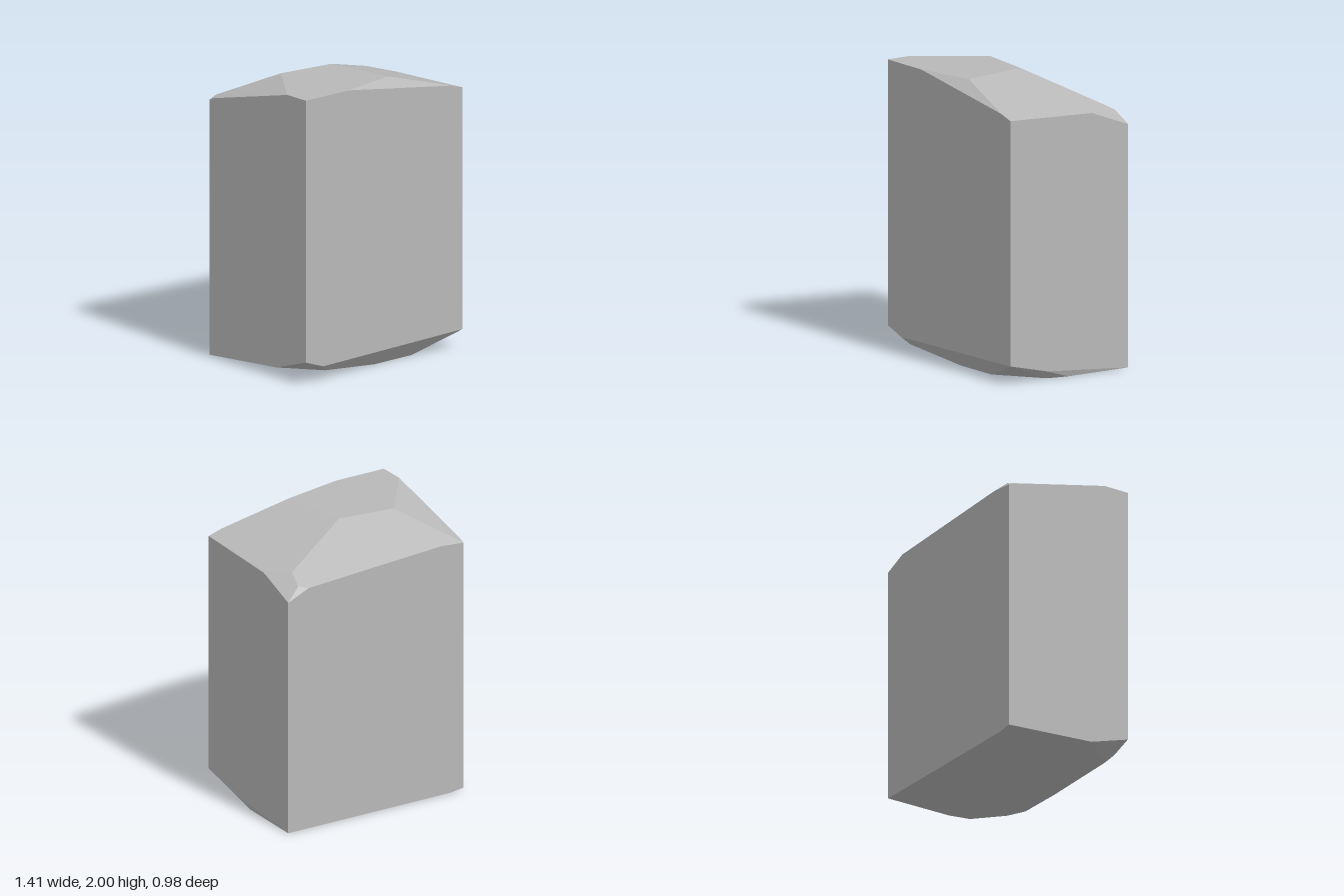
import * as THREE from 'three';
import { ConvexGeometry } from 'three/addons/geometries/ConvexGeometry.js';

const W = 0.705; // half width
const D = 0.49; // half depth

export function createModel() {
  const stoneGrey = new THREE.MeshStandardMaterial({ color: 0xb8b8b8 });

  // Flat crown and the chipped slopes around it
  const top = [
    [-W, 2, D], [-W, 2, 0.3], [-0.38, 2, -0.13], [0.03, 2, -0.08], [0.11, 2, 0.405], [-0.32, 2, D],
    [0.6, 1.86, D], [W, 1.829, D], [W, 1.796, -0.19], [0.58, 1.825, -0.345],
    [0.6, 1.766, -0.455], [0.54, 1.751, -D], [W, 1.68, -D],
    [-W, 1.8, -D], [-0.66, 1.832, -0.47], [-0.53, 1.815, -D], [-W, 1.818, -0.45],
  ];

  // Worn underside: level base with bevels toward the front and sides
  const bottom = [
    [W, 0, -D], [0.69, 0, 0], [0.655, 0, 0.15], [0.34, 0, 0.385], [0, 0, 0.39], [-0.6, 0, -D],
    [W, 0.06, 0.18], [W, 0.135, D], [-0.55, 0.11, D], [-W, 0.165, D],
    [-0.5, 0.065, 0.452], [-W, 0.068, 0.19], [-W, 0.013, -D],
  ];

  const points = [...top, ...bottom].map((p) => new THREE.Vector3(...p));
  const block = new THREE.Mesh(new ConvexGeometry(points), stoneGrey);
  block.name = 'chippedStoneBlock';

  const model = new THREE.Group();
  model.name = 'stone';
  model.add(block);
  return model;
}
